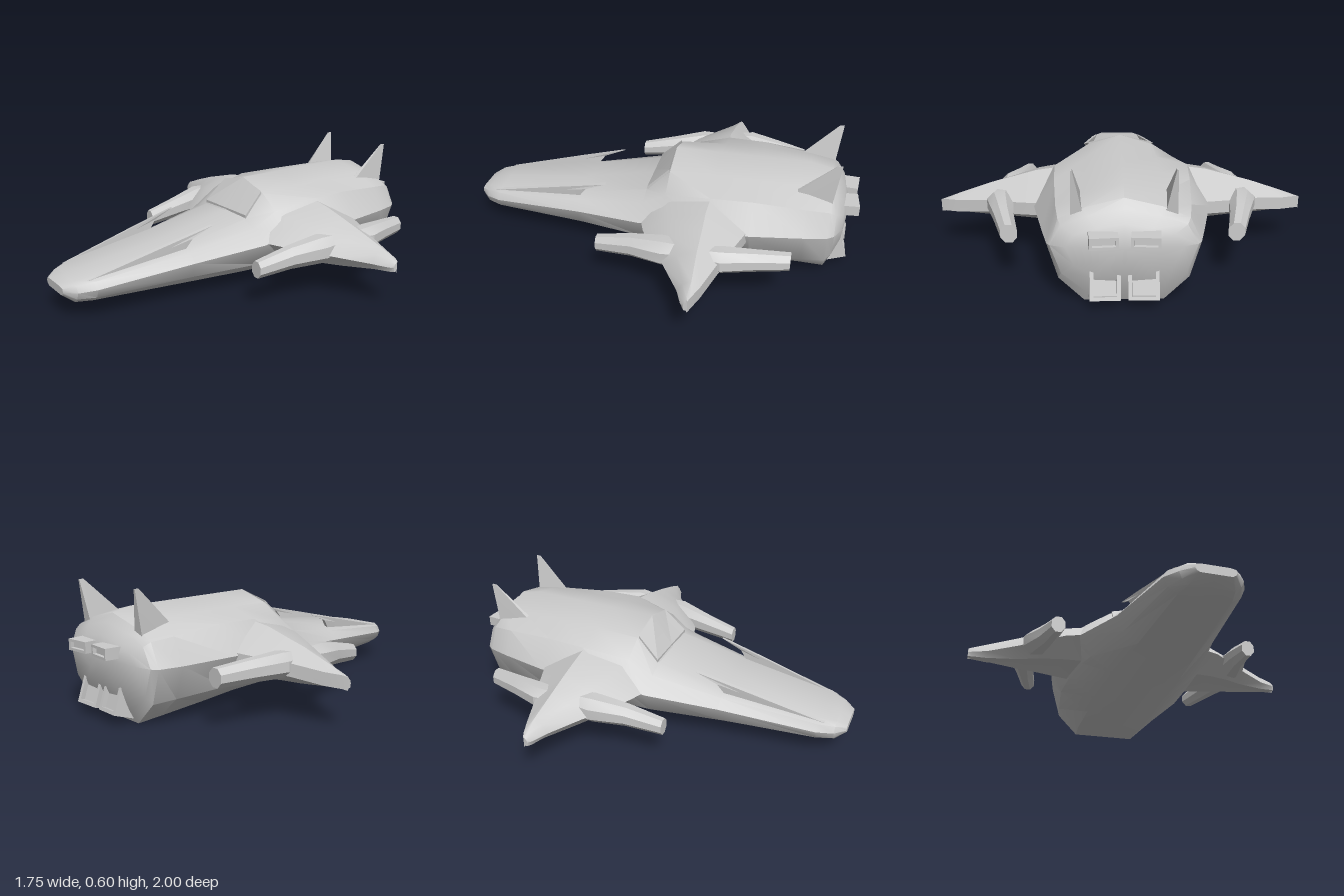
import * as THREE from 'three';
import { toCreasedNormals } from 'three/addons/utils/BufferGeometryUtils.js';

const material = new THREE.MeshStandardMaterial({ color: 0xcccccc });

// Joins closed rings of [x, y, z] points into a capped solid; faces are turned outward by signed volume.
function loft(rings, crease = 0.5) {
  const n = rings[0].length, pos = rings.flat(2), idx = [];
  for (let r = 0; r < rings.length - 1; r++)
    for (let i = 0; i < n; i++) {
      const a = r * n + i, b = r * n + (i + 1) % n;
      idx.push(a, b, b + n, a, b + n, a + n);
    }
  [0, rings.length - 1].forEach((r, end) => {
    const c = pos.length / 3;
    for (let k = 0; k < 3; k++) pos.push(rings[r].reduce((s, p) => s + p[k], 0) / n);
    for (let i = 0; i < n; i++) {
      const a = r * n + i, b = r * n + (i + 1) % n;
      if (end) idx.push(c, a, b); else idx.push(c, b, a);
    }
  });
  const v = i => new THREE.Vector3().fromArray(pos, i * 3);
  let volume = 0;
  for (let i = 0; i < idx.length; i += 3) volume += v(idx[i]).dot(v(idx[i + 1]).cross(v(idx[i + 2])));
  if (volume < 0) idx.reverse();
  const g = new THREE.BufferGeometry();
  g.setAttribute('position', new THREE.Float32BufferAttribute(pos, 3));
  g.setIndex(idx);
  return toCreasedNormals(g, crease);
}

function add(group, name, geometry) {
  const mesh = new THREE.Mesh(geometry, material);
  mesh.name = name;
  group.add(mesh);
  return mesh;
}

// Octagonal ring facing along z
function octagon(x, y, z, rx, ry) {
  return Array.from({ length: 8 }, (_, i) => {
    const a = (i + 0.5) * Math.PI / 4;
    return [x + rx * Math.cos(a) * 1.08, y + ry * Math.sin(a) * 1.08, z];
  });
}

// Symmetric fuselage ring: roof height, then roof edge, shoulder, side and keel corners
function hullRing([z, roof, ex, ey, sx, sy, wx, wy, kx, ky]) {
  const lower = [kx + (wx - kx) * 0.7, ky + (wy - ky) * 0.4];
  const half = [[ex, ey], [sx, sy], [wx, wy], lower, [kx, ky]];
  return [
    [0, roof, z], ...half.map(([x, y]) => [x, y, z]),
    [0, ky, z], ...half.reverse().map(([x, y]) => [-x, y, z]),
  ];
}

// Square nozzle: frame with a recessed plate, opening toward -z
function nozzle(w, h, depth, rim) {
  const g = new THREE.Group();
  const rect = (P, a, b) => {
    const p = new P();
    p.moveTo(-a, -b); p.lineTo(a, -b); p.lineTo(a, b); p.lineTo(-a, b); p.closePath();
    return p;
  };
  const shape = rect(THREE.Shape, w / 2, h / 2);
  shape.holes.push(rect(THREE.Path, w / 2 - rim, h / 2 - rim));
  add(g, 'nozzleFrame', new THREE.ExtrudeGeometry(shape, { depth, bevelEnabled: false }).translate(0, 0, -depth / 2));
  add(g, 'nozzlePlate', new THREE.BoxGeometry(w - rim, h - rim, depth * 0.75)).position.z = depth * 0.1;
  return g;
}

export function createModel() {
  const model = new THREE.Group();

  // Fuselage sections, nose to tail
  const hull = [
    [1.0, .16, .06, .16, .085, .155, .09, .14, .07, .12],
    [.95, .185, .1, .185, .125, .17, .14, .14, .1, .085],
    [.87, .2, .125, .2, .16, .185, .18, .15, .12, .08],
    [.4, .26, .16, .257, .21, .235, .25, .19, .15, .06],
    [.05, .33, .17, .325, .25, .295, .345, .235, .17, .045],
    [-.07, .49, .165, .44, .27, .37, .37, .27, .17, .04],
    [-.3, .49, .17, .45, .32, .41, .4, .28, .17, .035],
    [-.5, .49, .17, .45, .31, .41, .405, .28, .18, .025],
    [-.75, .49, .17, .445, .29, .39, .35, .27, .18, .01],
    [-.86, .47, .16, .43, .275, .38, .325, .27, .17, 0],
  ].map(hullRing);
  // Rounded stern: the last section shrinks toward its centre
  const stern = hull.at(-1);
  for (const [z, fx, fy] of [[-.89, .95, .8], [-.925, .75, .5], [-.945, .35, .2]])
    hull.push(stern.map(([x, y]) => [x * fx, .29 + (y - .29) * fy, z]));
  add(model, 'fuselage', loft(hull, 0.6));

  // Windscreen: slab lying on the slope in front of the roof
  add(model, 'windscreen', loft([
    [[-.175, .345, .045], [0, .345, .045], [.175, .345, .045], [.175, .31, .045], [0, .31, .045], [-.175, .31, .045]],
    [[-.16, .45, -.065], [0, .488, -.065], [.16, .45, -.065], [.16, .4, -.065], [0, .44, -.065], [-.16, .4, -.065]],
  ], 0.2));

  for (const s of [1, -1]) {
    const side = new THREE.Group();
    side.name = s > 0 ? 'leftSide' : 'rightSide';
    model.add(side);
    const mirrored = rings => rings.map(r => r.map(([x, y, z]) => [s * x, y, z]));

    // Wing: [x, leading z, trailing z, leading y, top y, trailing y, bottom y]
    const wing = [
      [.28, .06, -.52, .24, .405, .28, .14],
      [.41, .01, -.48, .24, .385, .27, .15],
      [.52, -.06, -.44, .23, .355, .26, .16],
      [.63, -.14, -.39, .22, .325, .25, .165],
      [.78, -.235, -.34, .21, .275, .23, .18],
      [.855, -.265, -.31, .21, .245, .225, .187],
      [.875, -.28, -.3, .21, .23, .22, .19],
    ].map(([x, zl, zt, yl, yt, yr, yb]) => {
      const at = t => zl + (zt - zl) * t;
      return [[x, yl, zl], [x, yl + (yt - yl) * .65, at(.25)], [x, yt, at(.62)], [x, yr + .02, zt],
        [x, yr - .04, zt], [x, yb, at(.7)], [x, yb, at(.2)]];
    });
    add(side, 'wing', loft(mirrored(wing), 0.6));

    // Pods ahead of and behind the wing
    add(side, 'frontPod', loft(mirrored([
      octagon(.49, .195, .22, .033, .04),
      octagon(.508, .222, .04, .047, .053),
      octagon(.54, .24, -.12, .07, .065),
      octagon(.55, .25, -.25, .05, .05),
    ])));
    add(side, 'rearPod', loft(mirrored([
      octagon(.5, .24, -.705, .037, .042),
      octagon(.54, .25, -.55, .045, .05),
      octagon(.575, .257, -.4, .062, .057),
      octagon(.57, .255, -.28, .045, .045),
    ])));

    // Tail fin
    add(side, 'tailFin', loft(mirrored([
      [[.18, .4, -.66], [.2, .4, -.67], [.222, .39, -.865], [.168, .39, -.865]],
      [[.21, .6, -.87], [.214, .6, -.87], [.217, .6, -.892], [.21, .6, -.892]],
    ]), 0.2));

    // Swept strake on the nose, rising toward the rear
    const blade = [[.13, .19, .9], [.168, .23, .42], [.178, .295, .37], [.184, .34, .26], [.165, .285, .5]];
    add(side, 'noseStrake', loft(mirrored([
      blade.map(([x, y, z]) => [x - .008, y, z]),
      blade.map(([x, y, z]) => [x + .01, y - .003, z]),
    ]), 0.2));

    // Engine nozzles
    const upper = nozzle(.12, .052, .08, .012);
    upper.name = 'upperNozzle';
    upper.position.set(s * .087, .326, -.955);
    upper.rotation.y = s * .08;
    side.add(upper);
    const lower = nozzle(.13, .135, .1, .016);
    lower.name = 'lowerNozzle';
    lower.position.set(s * .083, .1, -.895);
    lower.rotation.set(.33, s * .06, 0);
    side.add(lower);
  }
  return model;
}
